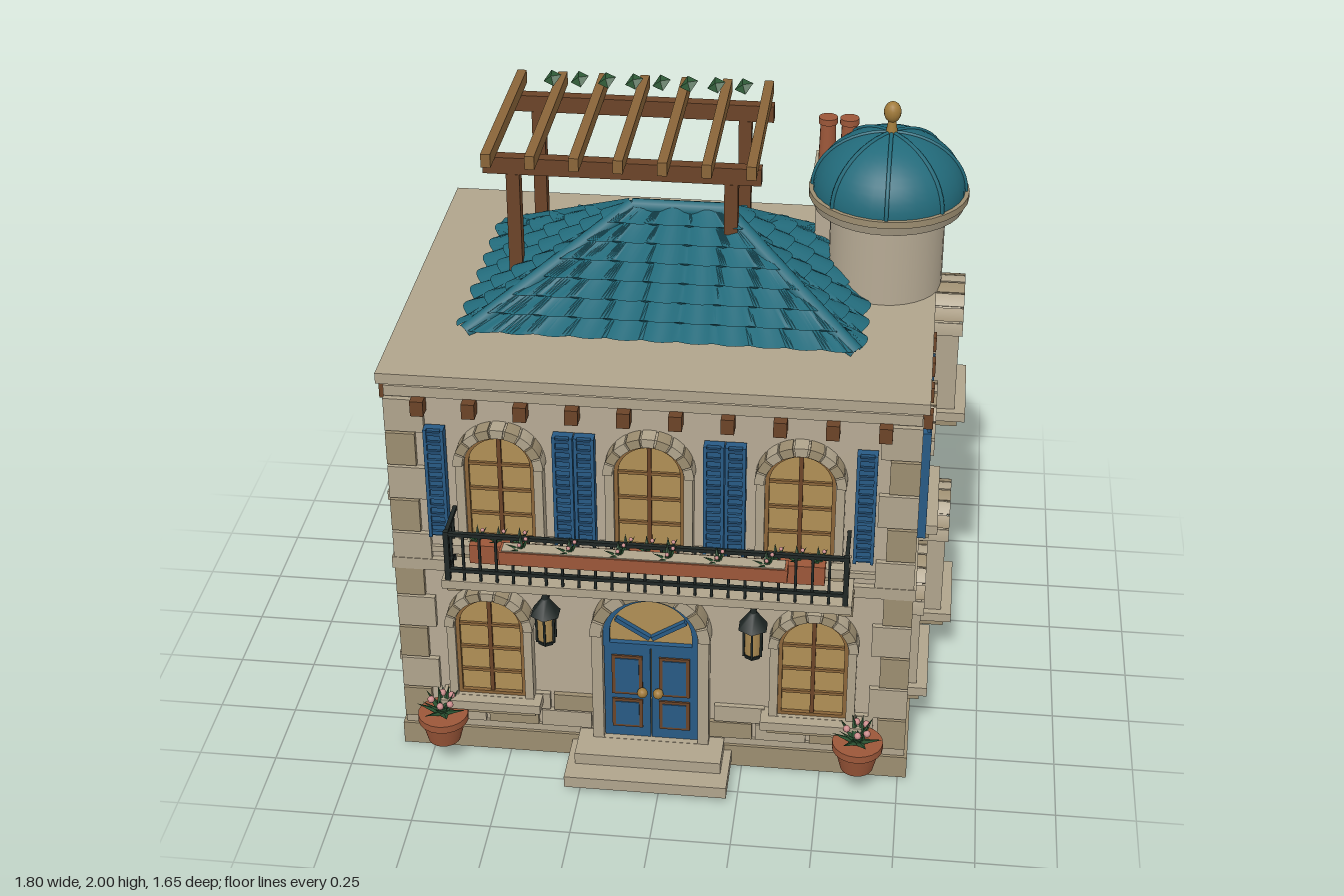
import * as THREE from 'three';
import { toCreasedNormals } from 'three/addons/utils/BufferGeometryUtils.js';

const mats = {};
const mat = (c) => (mats[c] ??= new THREE.MeshStandardMaterial({ color: c }));
const WALL = 0xb6aa94, STONE = 0x9c8d70, TRIM = 0xb0a48c, TEAL = 0x226a7a, BLUE = 0x285a84, WOOD = 0x6b4428,
  RAFTER = 0x8a6539, GLASS = 0xb08f55, CLAY = 0x9c5739, IRON = 0x1f2725, LEAF = 0x2c5634, PINK = 0xc98a8a, BRASS = 0xa07a3a;
const XL = -0.825, XR = 0.75, ZB = -0.63, ZF = 0.6, CX = -0.0375, CZ = -0.015;

function add(parent, name, geo, color, x = 0, y = 0, z = 0) {
  const m = new THREE.Mesh(geo, mat(color));
  m.name = name;
  m.position.set(x, y, z);
  parent.add(m);
  return m;
}
// box given by its bottom and top height
const box = (p, name, color, w, y0, y1, d, x, z) =>
  add(p, name, new THREE.BoxGeometry(w, y1 - y0, d), color, x, (y0 + y1) / 2, z);
const cyl = (p, name, color, rt, rb, y0, y1, x, z, n = 16) =>
  add(p, name, new THREE.CylinderGeometry(rt, rb, y1 - y0, n), color, x, (y0 + y1) / 2, z);

// group on a wall: local +z points out of the wall, z = 0 is the wall plane
function onWall(root, name, side, u, out = 0) {
  const g = new THREE.Group();
  g.name = name;
  if (side === 'front') g.position.set(u, 0, ZF + out);
  if (side === 'back') g.position.set(u, 0, ZB - out);
  if (side === 'right') g.position.set(XR + out, 0, u);
  if (side === 'left') g.position.set(XL - out, 0, u);
  g.rotation.y = { front: 0, back: Math.PI, right: Math.PI / 2, left: -Math.PI / 2 }[side];
  root.add(g);
  return g;
}

function archShape(r, y0, spring) {
  const s = new THREE.Shape();
  s.moveTo(-r, y0).lineTo(r, y0).lineTo(r, spring).absarc(0, spring, r, 0, Math.PI, false).lineTo(-r, y0);
  return s;
}
const extrude = (s, depth) => new THREE.ExtrudeGeometry(s, { depth, bevelEnabled: false, curveSegments: 12 });

// stone arch surround with separate wedge stones
function surround(g, ro, ri, y0, spring, depth) {
  const s = archShape(ro - 0.005, y0, spring);
  s.holes.push(archShape(ri, y0 + 0.001, spring));
  add(g, 'surround', extrude(s, depth), TRIM);
  for (let i = 0; i < 9; i++) {
    const a = (i + 0.06) * Math.PI / 9, b = (i + 0.94) * Math.PI / 9, w = new THREE.Shape();
    w.absarc(0, spring, ro, a, b, false).absarc(0, spring, ri + 0.003, b, a, true);
    add(g, 'archStone', extrude(w, depth + 0.01), i % 2 ? STONE : TRIM);
  }
}

function archWindow(root, side, u, y0, top, ro, { out = 0, shutters = 0, depth = 0.045 } = {}) {
  const g = onWall(root, 'archWindow', side, u, out), ri = ro - 0.032, spring = top - ro;
  surround(g, ro, ri, y0, spring, depth);
  add(g, 'glass', extrude(archShape(ri, y0, spring), depth * 0.4), GLASS);
  const rim = archShape(ri, y0, spring);
  rim.holes.push(archShape(ri - 0.012, y0 + 0.012, spring));
  add(g, 'windowRim', extrude(rim, depth * 0.7), RAFTER);
  const zb = depth * 0.4;
  box(g, 'mullion', WOOD, 0.013, y0, top - 0.035, 0.02, 0, zb);
  for (let i = 1; i <= 3; i++) {
    const y = y0 + (spring - y0) * i / 3;
    box(g, 'glazingBar', RAFTER, ri * 2, y - 0.005, y + 0.005, 0.018, 0, zb);
  }
  box(g, 'sill', TRIM, ro * 2 + 0.04, y0 - 0.032, y0, depth + 0.035, 0, (depth + 0.035) / 2);
  box(g, 'sillMoulding', STONE, ro * 2, y0 - 0.06, y0 - 0.032, depth + 0.01, 0, (depth + 0.01) / 2);
  if (shutters) for (const s of [-1, 1]) shutter(g, s * shutters, y0, top - 0.02);
}

function shutter(g, x, y0, y1) {
  box(g, 'shutter', BLUE, 0.062, y0, y1, 0.025, x, 0.02);
  for (const s of [-1, 1]) box(g, 'shutterStile', BLUE, 0.01, y0, y1, 0.012, x + s * 0.026, 0.038);
  for (let i = 0; i < 12; i++) {
    const y = y0 + 0.015 + (y1 - y0 - 0.03) * i / 11;
    box(g, 'louvre', i % 4 ? 0x214b70 : BLUE, 0.046, y - 0.006, y + 0.006, 0.01, x, 0.036);
  }
}

function archDoor(root, side, u, ro, top, stepW, stepOut) {
  const g = onWall(root, 'archDoor', side, u), ri = ro - 0.04, spring = top - ro, y0 = 0.1;
  surround(g, ro, ri, y0, spring, 0.05);
  add(g, 'transomGlass', extrude(archShape(ri, y0, spring), 0.012), GLASS);
  const rim = archShape(ri, spring - 0.05, spring);
  rim.holes.push(archShape(ri - 0.02, spring - 0.035, spring));
  add(g, 'transomRim', extrude(rim, 0.03), BLUE);
  for (const s of [-1, 1]) {
    box(g, 'doorLeaf', BLUE, ri - 0.004, y0, spring - 0.045, 0.03, s * ri / 2, 0.015);
    for (const [a, b] of [[0.14, 0.25], [0.27, spring - 0.08]]) {
      box(g, 'panelFrame', WOOD, ri * 0.65, a, b, 0.008, s * ri / 2, 0.032);
      box(g, 'panel', BLUE, ri * 0.5, a + 0.01, b - 0.01, 0.012, s * ri / 2, 0.033);
    }
    add(g, 'doorKnob', new THREE.SphereGeometry(0.017, 12, 8), BRASS, s * 0.025, 0.29, 0.05);
    box(g, 'fanBar', BLUE, 0.014, -ri * 0.42, ri * 0.42, 0.02, s * ri * 0.38, 0.02).position.y = spring + 0.02;
    g.children.at(-1).rotation.z = -s * 1.0;
  }
  box(g, 'lowerStep', TRIM, stepW, 0.02, 0.06, stepOut, 0, stepOut / 2);
  box(g, 'upperStep', TRIM, stepW - 0.05, 0.06, 0.1, stepOut - 0.07, 0, (stepOut - 0.07) / 2);
}

// fan of pointed leaves with a few blossoms
function plant(p, x, y, z, size, n, flowers) {
  const g = new THREE.Group();
  g.name = 'plant';
  g.position.set(x, y, z);
  for (let i = 0; i < n; i++) {
    const a = i * 2.4, tilt = 0.45 + (i % 3) * 0.35;
    const leaf = new THREE.ConeGeometry(size * 0.22, size, 4).scale(1, 1, 0.35).translate(0, size / 2, 0).rotateX(tilt).rotateY(a);
    add(g, 'leaf', leaf, LEAF);
    if (i < flowers) add(g, 'blossom', new THREE.SphereGeometry(size * 0.13, 8, 6), PINK, Math.sin(a) * size * 0.4, size * 0.6, Math.cos(a) * size * 0.4);
  }
  p.add(g);
}
function flowerBox(root, side, u) {
  const g = onWall(root, 'flowerBox', side, u);
  box(g, 'planter', CLAY, 0.17, 0.8, 0.865, 0.07, 0, 0.09);
  for (const x of [-0.065, 0, 0.065]) plant(g, x, 0.86, 0.09, 0.05, 6, 2);
}

// tiled slope between eave a-b and ridge d-c, with scalloped courses
function tiledSlope(p, a, b, c, d) {
  const rows = 7, nu = 96, pos = [], idx = [], along = b.clone().sub(a).normalize();
  const n = along.clone().cross(d.clone().sub(a)).normalize(), down = along.clone().cross(n);
  for (let r = 0; r < rows; r++) for (let k = 0; k < 2; k++) for (let i = 0; i <= nu; i++) {
    const v = (r + k) / rows, l = a.clone().lerp(d, v), q = l.lerp(b.clone().lerp(c, v), i / nu);
    const hump = Math.abs(Math.sin(Math.PI * q.clone().sub(a).dot(along) / 0.109));
    q.addScaledVector(n, 0.02 * hump + (k ? 0 : 0.015)).addScaledVector(down, k ? 0 : -0.015 * hump * Math.sign(down.y) * -1 * -1);
    pos.push(q.x, q.y, q.z);
  }
  const w = nu + 1;
  for (let j = 0; j < rows * 2 - 1; j++) for (let i = 0; i < nu; i++) {
    const o = j * w + i;
    idx.push(o, o + 1, o + w + 1, o, o + w + 1, o + w);
  }
  const geo = new THREE.BufferGeometry().setAttribute('position', new THREE.Float32BufferAttribute(pos, 3));
  geo.setIndex(idx);
  add(p, 'roofTiles', toCreasedNormals(geo, 0.7), TEAL).material = new THREE.MeshStandardMaterial({ color: TEAL, side: THREE.DoubleSide });
}

export function createModel() {
  const root = new THREE.Group();
  const W = XR - XL, D = ZF - ZB;

  // walls, plinth, string course, cornice
  box(root, 'plinth', STONE, 1.63, 0, 0.08, 1.27, CX, CZ);
  box(root, 'plinthCap', TRIM, 1.61, 0.08, 0.105, 1.25, CX, CZ);
  box(root, 'walls', WALL, W, 0.1, 1.36, D, CX, CZ);
  box(root, 'stringCourse', TRIM, W + 0.05, 0.69, 0.73, D + 0.04, CX, CZ);
  box(root, 'upperString', TRIM, W + 0.03, 0.755, 0.775, D + 0.025, CX, CZ);
  box(root, 'frieze', TRIM, W + 0.03, 1.31, 1.345, D + 0.025, CX, CZ);
  box(root, 'cornice', TRIM, 1.645, 1.355, 1.39, 1.275, CX, CZ);

  // corner quoins
  for (const sx of [-1, 1]) for (const sz of [-1, 1]) for (let i = 0; i < 10; i++) {
    const y = 0.11 + i * 0.12, long = i % 2, wx = long ? 0.12 : 0.09, wz = long ? 0.09 : 0.12;
    box(root, 'quoin', long ? TRIM : STONE, wx, y, y + 0.112, wz, CX + sx * (W / 2 + 0.018 - wx / 2), CZ + sz * (D / 2 + 0.018 - wz / 2));
  }
  // base stones and eaves corbels along each wall
  for (const side of ['front', 'back', 'left', 'right']) {
    const fb = side === 'front' || side === 'back', len = fb ? W : D;
    const g = onWall(root, 'wallDetails', side, fb ? CX : CZ);
    for (let r = 0; r < 2; r++) for (let i = 0, n = fb ? 8 : 6; i < n; i++) {
      const step = (len - 0.2) / n, x = (i - (n - 1) / 2) * step;
      if (fb && Math.abs(x - (side === 'back' ? 0.42 : 0)) < 0.22) continue;
      box(g, 'baseStone', (i + r) % 2 ? STONE : TRIM, step - 0.012, 0.108 + r * 0.065, 0.168 + r * 0.065, 0.024, x + (r ? 0.02 : -0.02), 0.005);
    }
    const n = fb ? 10 : 8;
    for (let i = 0; i < n; i++) box(g, 'corbel', WOOD, 0.04, 1.262, 1.312, 0.05, (i - (n - 1) / 2) * 0.155, 0.02);
  }

  // windows and doors
  for (const side of ['front', 'back']) for (const u of [-0.495, -0.04, 0.415]) {
    archWindow(root, side, u, 0.83, 1.235, 0.138, { shutters: 0.195 });
    flowerBox(root, side, u);
  }
  for (const u of [-0.55, 0.47]) archWindow(root, 'front', u, 0.23, 0.637, 0.14);
  for (const u of [-0.04, 0.415]) archWindow(root, 'back', u, 0.23, 0.637, 0.14);
  for (const [side, u] of [['right', 0.235], ['left', 0.23], ['left', -0.26]]) {
    archWindow(root, side, u, 0.83, 1.225, 0.155, { shutters: 0.215 });
    archWindow(root, side, u, 0.2, 0.625, 0.155);
  }
  archDoor(root, 'front', -0.04, 0.19, 0.69, 0.515, 0.21);
  archDoor(root, 'back', -0.455, 0.14, 0.63, 0.41, 0.2);

  // round corner tower with dome
  const tx = 0.62, tz = -0.15;
  cyl(root, 'tower', WALL, 0.18, 0.18, 0.1, 1.68, tx, tz, 32);
  cyl(root, 'towerBand', TRIM, 0.195, 0.185, 0.88, 0.915, tx, tz, 32);
  cyl(root, 'towerFoot', TRIM, 0.19, 0.2, 0.1, 0.14, tx, tz, 32);
  cyl(root, 'towerCornice', TRIM, 0.245, 0.235, 1.66, 1.69, tx, tz, 32);
  cyl(root, 'towerRim', STONE, 0.25, 0.25, 1.69, 1.712, tx, tz, 32);
  add(root, 'dome', new THREE.SphereGeometry(0.237, 32, 12, 0, Math.PI * 2, 0, Math.PI / 2).scale(1, 0.8, 1), TEAL, tx, 1.71, tz);
  for (let i = 0; i < 4; i++)
    add(root, 'domeRib', new THREE.TorusGeometry(0.238, 0.007, 6, 24, Math.PI).scale(1, 0.8, 1).rotateY(i * Math.PI / 4), TEAL, tx, 1.71, tz);
  cyl(root, 'finialStem', BRASS, 0.01, 0.02, 1.89, 1.95, tx, tz, 12);
  add(root, 'finial', new THREE.SphereGeometry(0.027, 16, 12).scale(1, 1.25, 1), BRASS, tx, 1.966, tz);
  for (const [y0, top] of [[1.0, 1.405], [0.21, 0.625]]) {
    archWindow(root, 'right', tz, y0, top, 0.138, { out: 0.015, depth: 0.1 });
    for (const z of [tz + 0.205, tz - 0.21]) box(root, 'darkShutter', 0x24404a, 0.03, y0 + 0.02, top - 0.04, 0.04, XR + 0.01, z);
  }

  // hipped roof
  const V = (x, y, z) => new THREE.Vector3(x, y, z);
  const e = [V(-0.64, 1.39, 0.345), V(0.555, 1.39, 0.345), V(0.555, 1.39, -0.39), V(-0.64, 1.39, -0.39)];
  const rl = V(-0.17, 1.665, -0.023), rr = V(0.12, 1.665, -0.023);
  tiledSlope(root, e[0], e[1], rr, rl);
  tiledSlope(root, e[2], e[3], rl, rr);
  tiledSlope(root, e[1], e[2], rr, rr);
  tiledSlope(root, e[3], e[0], rl, rl);
  for (const [a, b] of [[e[0], rl], [e[3], rl], [e[1], rr], [e[2], rr], [rl, rr]])
    add(root, 'ridgeTiles', new THREE.TubeGeometry(new THREE.LineCurve3(a, b), 8, 0.026, 8), TEAL);

  // chimney
  box(root, 'chimney', WALL, 0.13, 1.39, 1.69, 0.15, 0.455, -0.28);
  box(root, 'chimneyCap', TRIM, 0.15, 1.69, 1.725, 0.18, 0.455, -0.28);
  for (const x of [0.418, 0.485]) {
    cyl(root, 'chimneyPot', CLAY, 0.024, 0.028, 1.725, 1.87, x, -0.285);
    cyl(root, 'chimneyPotRim', CLAY, 0.03, 0.03, 1.86, 1.88, x, -0.285);
  }

  // roof pergola
  for (const z of [-0.44, 0.035]) {
    box(root, 'pergolaBeam', WOOD, 0.86, 1.79, 1.845, 0.04, -0.193, z);
    for (const x of [-0.53, 0.145]) box(root, 'pergolaPost', WOOD, 0.042, 1.39, 1.79, 0.042, x, z);
  }
  for (let i = 0; i < 7; i++) box(root, 'pergolaRafter', RAFTER, 0.03, 1.843, 1.887, 0.66, -0.598 + i * 0.135, -0.203);
  for (let i = 0; i < 8; i++)
    add(root, 'vineLeaf', new THREE.OctahedronGeometry(0.032).scale(1, 0.35, 1).rotateX(0.6).rotateZ(0.4), LEAF, -0.475 + i * 0.088, 1.92, -0.4);

  // balcony
  const bx = -0.04, hw = 0.605, bz = 0.745;
  box(root, 'balconySlab', TRIM, 1.25, 0.72, 0.75, 0.16, bx, 0.675);
  for (const s of [-1, 1]) {
    box(root, 'balconyBracket', STONE, 0.045, 0.66, 0.72, 0.08, bx + s * hw, 0.64);
    for (const y of [0.78, 0.91]) box(root, 'sideRail', IRON, 0.012, y, y + 0.012, 0.15, bx + s * hw, 0.675);
    for (let i = 0; i < 3; i++) box(root, 'sideBaluster', IRON, 0.008, 0.75, 0.915, 0.008, bx + s * hw, 0.64 + i * 0.04);
    box(root, 'cornerPost', IRON, 0.016, 0.75, 0.925, 0.016, bx + s * hw, bz);
  }
  for (const y of [0.78, 0.91]) box(root, 'frontRail', IRON, hw * 2, y, y + 0.012, 0.014, bx, bz);
  for (let i = 1; i < 24; i++) box(root, 'baluster', IRON, 0.008, 0.75, 0.915, 0.008, bx - hw + i * hw / 12, bz);
  box(root, 'railPlanter', CLAY, 0.865, 0.86, 0.905, 0.055, bx, 0.782);
  box(root, 'planterSoil', TRIM, 0.85, 0.9, 0.908, 0.045, bx, 0.782);
  for (let i = 0; i < 6; i++) plant(root, bx - 0.37 + i * 0.148, 0.9, 0.782, 0.05, 6, 2);

  // lanterns and potted plants beside the door
  for (const x of [-0.363, 0.283]) {
    cyl(root, 'lanternGlass', GLASS, 0.034, 0.026, 0.49, 0.59, x, 0.668, 6);
    cyl(root, 'lanternBase', IRON, 0.03, 0.026, 0.478, 0.492, x, 0.668, 6);
    cyl(root, 'lanternHood', IRON, 0.012, 0.05, 0.59, 0.645, x, 0.668, 6);
    cyl(root, 'lanternTip', IRON, 0.005, 0.012, 0.645, 0.685, x, 0.668, 6);
    for (let i = 0; i < 6; i++)
      box(root, 'lanternBar', IRON, 0.007, 0.49, 0.59, 0.007, x + Math.sin(i * Math.PI / 3) * 0.031, 0.668 + Math.cos(i * Math.PI / 3) * 0.031);
    box(root, 'lanternArm', IRON, 0.014, 0.62, 0.635, 0.08, x, 0.63);
  }
  for (const x of [-0.702, 0.62]) {
    cyl(root, 'flowerPot', CLAY, 0.072, 0.052, 0.09, 0.17, x, 0.69, 20);
    cyl(root, 'flowerPotRim', CLAY, 0.08, 0.08, 0.165, 0.19, x, 0.69, 20);
    plant(root, x, 0.185, 0.69, 0.09, 14, 5);
  }
  // downpipes at the back corners
  for (const x of [-0.8, 0.722]) cyl(root, 'downpipe', IRON, 0.011, 0.011, 0.1, 1.33, x, -0.66, 10);
  return root;
}
